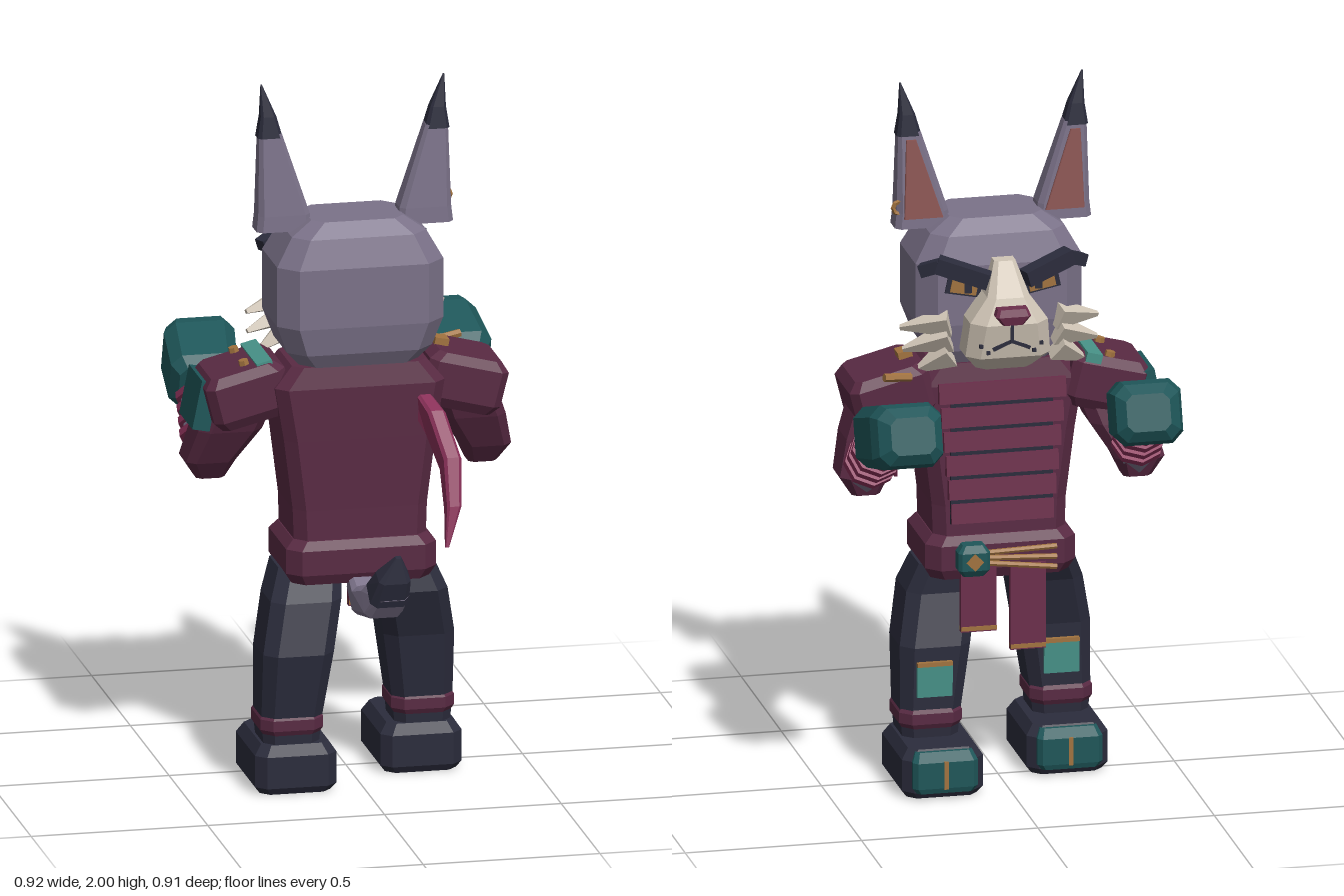
import * as THREE from 'three';

const colours = {
  greyFur: 0x7b7289, maroonCloth: 0x592a43, wineCloth: 0x6c2e4b, pinkWrap: 0x8a3159, navy: 0x2b2c3c,
  teal: 0x1e5659, aqua: 0x489389, cream: 0xd0c5b6, gold: 0xa2733f, earPink: 0x8c5553,
};
const M = {};
for (const [name, hex] of Object.entries(colours)) {
  M[name] = new THREE.MeshStandardMaterial({ color: hex, flatShading: true });
  M[name].name = name;
}

function add(parent, name, geo, mat, pos = [0, 0, 0], rot = [0, 0, 0]) {
  const m = new THREE.Mesh(geo, mat);
  m.name = name;
  m.position.set(...pos);
  m.rotation.set(...rot);
  parent.add(m);
  return m;
}

const box = (parent, name, mat, size, pos, rot) => add(parent, name, new THREE.BoxGeometry(...size), mat, pos, rot);

// Chamfered-rectangle rings [x, y, z, halfWidth, halfDepth, tiltDegrees] joined into a closed solid.
function loft(sections, chamfer = 0.35) {
  const pos = [], idx = [], n = 8;
  for (const [x, y, z, w, d, tilt = 0] of sections) {
    const c = chamfer * Math.min(w, d), t = THREE.MathUtils.degToRad(tilt);
    const ring = [[w, -d + c], [w, d - c], [w - c, d], [-w + c, d], [-w, d - c], [-w, -d + c], [-w + c, -d], [w - c, -d]];
    for (const [a, b] of ring) pos.push(x + a, y - b * Math.sin(t), z + b * Math.cos(t));
  }
  const last = (sections.length - 1) * n;
  for (const s of [sections[0], sections[sections.length - 1]]) pos.push(s[0], s[1], s[2]);
  for (let i = 0; i < n; i++) {
    const j = (i + 1) % n;
    for (let k = 0; k < last; k += n) idx.push(k + i, k + n + i, k + j, k + j, k + n + i, k + n + j);
    idx.push(last + n, i, j, last + n + 1, last + j, last + i);
  }
  const g = new THREE.BufferGeometry();
  g.setAttribute('position', new THREE.Float32BufferAttribute(pos, 3));
  g.setIndex(idx);
  g.computeVertexNormals();
  return g;
}

// Straight tapered rod from a to b.
function rod(parent, name, mat, a, b, r0, r1, sides = 6) {
  const A = new THREE.Vector3(...a), B = new THREE.Vector3(...b), dir = B.clone().sub(A);
  const m = add(parent, name, new THREE.CylinderGeometry(r1, r0, dir.length(), sides), mat);
  m.position.copy(A).add(B).multiplyScalar(0.5);
  m.quaternion.setFromUnitVectors(new THREE.Vector3(0, 1, 0), dir.normalize());
  return m;
}

function group(parent, name) {
  const g = new THREE.Group();
  g.name = name;
  parent.add(g);
  return g;
}

function buildHead(root) {
  const head = group(root, 'head');
  add(head, 'skull', loft([[0, 1.19, 0.09, 0.15, 0.1], [0, 1.25, 0.09, 0.205, 0.135], [0, 1.33, 0.09, 0.235, 0.15],
    [0, 1.5, 0.09, 0.235, 0.15], [0, 1.58, 0.09, 0.19, 0.125], [0, 1.62, 0.09, 0.13, 0.09]]), M.greyFur);
  add(head, 'muzzle', loft([[0, 1.21, -0.03, 0.08, 0.07], [0, 1.26, -0.06, 0.12, 0.1], [0, 1.36, -0.07, 0.11, 0.11],
    [0, 1.43, -0.07, 0.06, 0.085], [0, 1.52, -0.05, 0.03, 0.045]]), M.cream);
  add(head, 'nose', loft([[0, 1.365, -0.18, 0.03, 0.018], [0, 1.39, -0.18, 0.05, 0.024], [0, 1.41, -0.175, 0.042, 0.02]]), M.wineCloth);
  box(head, 'lipLine', M.navy, [0.008, 0.05, 0.008], [0, 1.335, -0.178]);
  for (const s of [-1, 1]) {
    box(head, 'mouth', M.navy, [0.055, 0.009, 0.008], [s * 0.027, 1.3, -0.172], [0, 0, -s * 0.4]);
    for (const [x, y] of [[0.07, 1.33], [0.085, 1.3], [0.065, 1.28]])
      box(head, 'whiskerDot', M.navy, [0.01, 0.01, 0.008], [s * x, y, -0.168]);
    // Eyes under heavy slanted brows
    box(head, 'eyeRim', M.navy, [0.1, 0.055, 0.006], [s * 0.11, 1.445, -0.061], [0, 0, s * 0.2]);
    box(head, 'eye', M.gold, [0.075, 0.04, 0.006], [s * 0.11, 1.443, -0.065], [0, 0, s * 0.2]);
    box(head, 'pupil', M.navy, [0.02, 0.036, 0.006], [s * 0.1, 1.443, -0.068]);
    box(head, 'brow', M.navy, [0.15, 0.045, 0.045], [s * 0.12, 1.495, -0.095], [0, -s * 0.3, s * 0.3]);
    box(head, 'browEnd', M.navy, [0.06, 0.035, 0.035], [s * 0.205, 1.505, -0.065], [0, -s * 0.5, -s * 0.35]);
    // Cheek tufts
    for (const [i, tip] of [[0.28, 1.32], [0.275, 1.26], [0.24, 1.2]].entries()) {
      const y = 1.345 - i * 0.045;
      rod(head, 'cheekTuft', M.cream, [s * 0.15, y, -0.06], [s * tip[0], tip[1], -0.01 - i * 0.012], 0.045, 0.008, 4);
    }
    // Ears with dark tips
    add(head, 'ear', loft([[s * 0.2, 1.585, 0.088, 0.078, 0.044], [s * 0.2, 1.63, 0.088, 0.073, 0.042],
      [s * 0.235, 1.86, 0.085, 0.032, 0.026], [s * 0.238, 1.89, 0.085, 0.02, 0.018]]), M.greyFur);
    add(head, 'innerEar', loft([[s * 0.2, 1.615, 0.044, 0.055, 0.006], [s * 0.233, 1.84, 0.058, 0.014, 0.006]]), M.earPink);
    add(head, 'earTip', loft([[s * 0.236, 1.85, 0.085, 0.035, 0.028], [s * 0.24, 1.91, 0.085, 0.022, 0.02],
      [s * 0.258, 2, 0.085, 0.002, 0.002]]), M.navy);
  }
  add(head, 'earring', new THREE.TorusGeometry(0.018, 0.007, 5, 8), M.gold, [0.265, 1.645, 0.06]);
}

function buildTorso(root) {
  const torso = group(root, 'torso');
  add(torso, 'jacket', loft([[0, 0.66, 0.085, 0.185, 0.13], [0, 0.8, 0.085, 0.19, 0.128], [0, 1, 0.085, 0.215, 0.13],
    [0, 1.15, 0.085, 0.24, 0.13], [0, 1.21, 0.085, 0.19, 0.115]], 0.25), M.maroonCloth);
  add(torso, 'sash', loft([[0, 0.59, 0.085, 0.195, 0.135], [0, 0.62, 0.085, 0.212, 0.15], [0, 0.69, 0.085, 0.212, 0.15],
    [0, 0.715, 0.085, 0.19, 0.135]], 0.25), M.maroonCloth);
  // Padded chest bands over a dark backing
  box(torso, 'chestBacking', M.navy, [0.29, 0.38, 0.02], [0, 0.94, -0.042]);
  for (let i = 0; i < 6; i++)
    box(torso, 'chestBand', M.wineCloth, [0.36 - i * 0.014, 0.056, 0.035], [0, 1.13 - i * 0.07, -0.045], [0.1, 0, 0]);
  rod(torso, 'shoulderCord', M.gold, [0.26, 1.19, -0.06], [0.34, 1.2, -0.08], 0.012, 0.012);
  box(torso, 'brooch', M.gold, [0.04, 0.02, 0.05], [0.255, 1.225, 0.055], [0, 0, -0.2]);
  // Buckle, cords and hanging tabs
  add(torso, 'buckle', loft([[0.09, 0.61, -0.08, 0.03, 0.02], [0.09, 0.63, -0.085, 0.045, 0.028],
    [0.09, 0.68, -0.085, 0.045, 0.028], [0.09, 0.7, -0.08, 0.03, 0.02]]), M.teal);
  box(torso, 'buckleStud', M.gold, [0.035, 0.035, 0.008], [0.09, 0.655, -0.114], [0, 0, 0.78]);
  for (let i = 0; i < 3; i++)
    rod(torso, 'sashCord', M.gold, [0.05, 0.67 - i * 0.015, -0.078], [-0.15, 0.675 - i * 0.03, -0.075], 0.008, 0.008);
  for (const [x, len] of [[0.07, 0.19], [-0.07, 0.25]]) {
    box(torso, 'hangingTab', M.wineCloth, [0.1, len, 0.02], [x, 0.63 - len / 2, -0.062]);
    box(torso, 'tabTrim', M.gold, [0.1, 0.012, 0.024], [x, 0.64 - len, -0.063]);
  }
  // Trailing scarf at the back
  add(torso, 'scarf', loft([[0.17, 1.09, 0.19, 0.02, 0.04, 80], [0.195, 1.05, 0.27, 0.025, 0.045, 115],
    [0.222, 0.95, 0.34, 0.025, 0.042, 140], [0.215, 0.84, 0.4, 0.02, 0.028, 155], [0.19, 0.74, 0.44, 0.005, 0.006, 165]]), M.pinkWrap);
  // Tail
  add(torso, 'tail', loft([[-0.01, 0.59, 0.2, 0.03, 0.03, 105], [0.005, 0.55, 0.26, 0.045, 0.04, 90],
    [0.03, 0.565, 0.33, 0.055, 0.05, 55], [0.045, 0.61, 0.365, 0.05, 0.045, 35]]), M.greyFur);
  add(torso, 'tailTip', loft([[0.04, 0.595, 0.357, 0.055, 0.049, 40], [0.05, 0.65, 0.385, 0.045, 0.035, 25],
    [0.06, 0.71, 0.405, 0.008, 0.008, 15]]), M.navy);
}

function buildArm(root, s, reach) {
  const arm = group(root, 'arm');
  add(arm, 'shoulder', loft([[0, -0.08, 0, 0.095, 0.1], [0, -0.05, 0, 0.115, 0.118], [0, 0.05, 0, 0.115, 0.118], [0, 0.075, 0, 0.09, 0.1]], 0.2),
    M.maroonCloth, [s * 0.305, 1.125, 0.055], [0, 0, -s * 0.25]);
  add(arm, 'sleeve', loft([[s * 0.385, 0.855, -0.02, 0.04, 0.04], [s * 0.39, 0.91, -0.01, 0.07, 0.07],
    [s * 0.345, 1.01, 0.025, 0.09, 0.085], [s * 0.3, 1.13, 0.06, 0.09, 0.09]]), M.maroonCloth);
  // Forearm with wraps
  const a = new THREE.Vector3(s * 0.385, 0.91, -0.02), b = new THREE.Vector3(s * 0.372, 1.075, reach + 0.09);
  const at = t => a.clone().lerp(b, t).toArray();
  rod(arm, 'forearm', M.greyFur, at(0), at(1), 0.062, 0.06, 8);
  for (let i = 0; i < 4; i++) rod(arm, 'wrap', M.pinkWrap, at(0.26 + i * 0.17), at(0.35 + i * 0.17), 0.075, 0.075, 8);
  // Padded glove, tilted upward toward its front
  const ring = (t, w, d) => [s * (0.355 - t * 0.12), 1.11 + t * 0.3, reach - t, w, d, -72];
  add(arm, 'glove', loft([ring(-0.12, 0.07, 0.06), ring(-0.09, 0.094, 0.084), ring(0.06, 0.1, 0.09),
    ring(0.095, 0.09, 0.08), ring(0.12, 0.062, 0.052)]), M.teal);
}

function buildLeg(root, s, knee, ankle) {
  const leg = group(root, 'leg');
  add(leg, 'trouserLeg', loft([[s * 0.2, 0.1, ankle, 0.075, 0.08], [s * 0.2, 0.2, ankle, 0.085, 0.085],
    [s * 0.185, 0.4, knee, 0.1, 0.1], [s * 0.155, 0.54, (knee + 0.16) / 3 + 0.02, 0.1, 0.1], [s * 0.13, 0.62, 0.075, 0.09, 0.09]]), M.navy);
  add(leg, 'ankleCuff', loft([[s * 0.2, 0.165, ankle, 0.08, 0.083], [s * 0.2, 0.18, ankle, 0.089, 0.091],
    [s * 0.2, 0.21, ankle, 0.089, 0.091], [s * 0.2, 0.225, ankle, 0.08, 0.083]]), M.maroonCloth);
  // Knee patch
  const pz = (knee + ankle) / 2 - 0.098;
  box(leg, 'kneePatch', M.aqua, [0.1, 0.1, 0.012], [s * 0.195, 0.31, pz], [(ankle - knee) * 3, 0, 0]);
  box(leg, 'patchTrim', M.gold, [0.1, 0.012, 0.014], [s * 0.195, 0.355, pz - 0.002]);
  // Boot and toe cap
  const z = ankle - 0.07;
  add(leg, 'boot', loft([[s * 0.192, 0, z + 0.02, 0.1, 0.14], [s * 0.192, 0.02, z + 0.02, 0.115, 0.153],
    [s * 0.192, 0.11, z + 0.02, 0.115, 0.153], [s * 0.192, 0.14, z + 0.02, 0.095, 0.135]], 0.25), M.navy);
  add(leg, 'toeCap', loft([[s * 0.192, 0.02, z - 0.118, 0.08, 0.03], [s * 0.192, 0.035, z - 0.115, 0.092, 0.038],
    [s * 0.192, 0.11, z - 0.115, 0.092, 0.038], [s * 0.192, 0.135, z - 0.1, 0.08, 0.03]]), M.teal);
  box(leg, 'toeStripe', M.gold, [0.012, 0.08, 0.008], [s * 0.192, 0.072, z - 0.153]);
}

export function createModel() {
  const root = new THREE.Group();
  root.name = 'boxer';
  buildHead(root);
  buildTorso(root);
  buildArm(root, 1, -0.325);
  buildArm(root, -1, -0.265);
  buildLeg(root, 1, 0.035, 0.02);
  buildLeg(root, -1, 0.17, 0.155);
  // Layered armour on one shoulder
  const pad = group(root, 'shoulderArmour');
  box(pad, 'aquaStrip', M.aqua, [0.045, 0.03, 0.21], [-0.26, 1.205, 0.045], [0, 0, 0.25]);
  box(pad, 'outerPlate', M.teal, [0.05, 0.14, 0.17], [-0.42, 1.09, 0.025], [0, 0, -0.2]);
  for (const z of [-0.03, 0.1])
    add(pad, 'rivet', new THREE.CylinderGeometry(0.014, 0.016, 0.025, 6), M.gold, [-0.31, 1.203, z], [0, 0, 0.25]);
  return root;
}
